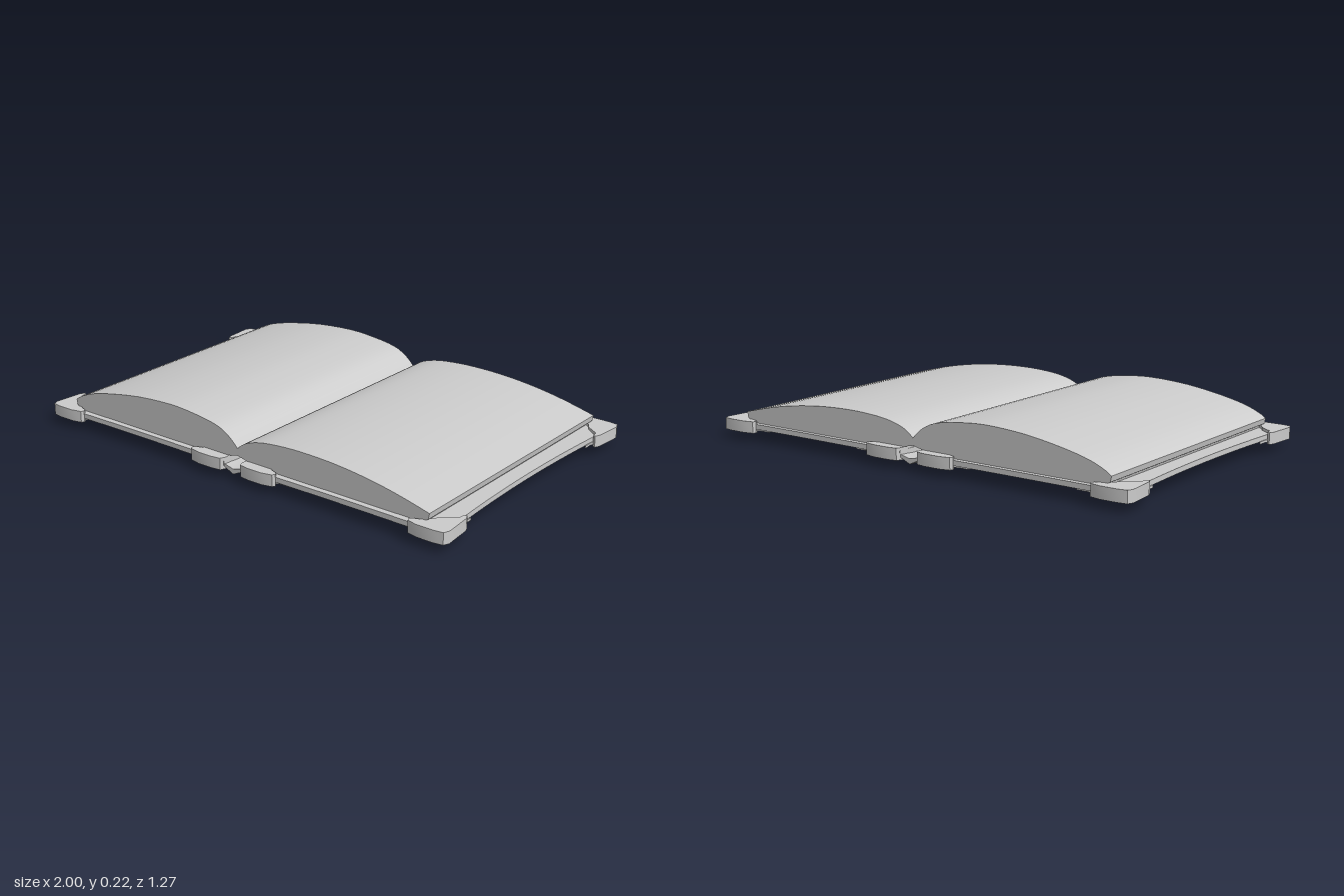
import * as THREE from 'three';
import { toCreasedNormals } from 'three/addons/utils/BufferGeometryUtils.js';

const material = new THREE.MeshStandardMaterial({ color: 0xcccccc, side: THREE.DoubleSide });
const vec = ([x, y]) => new THREE.Vector2(x, y);

function addMesh(parent, name, geometry) {
  const mesh = new THREE.Mesh(toCreasedNormals(geometry, 0.6), material);
  mesh.name = name;
  parent.add(mesh);
  return mesh;
}

// Flat slab: outline in x/z, extruded from y0 up to y1
function slab(shape, y0, y1) {
  const geo = new THREE.ExtrudeGeometry(shape, { depth: y1 - y0, bevelEnabled: false, curveSegments: 16 });
  return geo.rotateX(Math.PI / 2).translate(0, y1, 0);
}

// Page block: curved top profile over a flat base, extruded along z
function pageBlock(top, side) {
  const curve = new THREE.SplineCurve(top.map(vec)).getPoints(28);
  const base = [[0.895, 0.09], [0.88, 0.082], [0.875, 0.065], [0.06, 0.065], [0.045, 0.085]]
    .map(([x, y]) => new THREE.Vector2(x * side, y));
  const shape = new THREE.Shape([...curve, ...base, new THREE.Vector2(0, 0.095)]);
  return new THREE.ExtrudeGeometry(shape, { depth: 1.175, bevelEnabled: false }).translate(0, 0, -0.59);
}

// Cover board with slightly concave outer edges
function coverBoard(side) {
  const s = new THREE.Shape();
  s.moveTo(0.045 * side, -0.615);
  s.quadraticCurveTo(0.5 * side, -0.605, 0.975 * side, -0.615);
  s.quadraticCurveTo(0.917 * side, 0, 0.975 * side, 0.615);
  s.quadraticCurveTo(0.5 * side, 0.605, 0.045 * side, 0.615);
  s.closePath();
  return slab(s, 0.052, 0.073);
}

// Spine: shallow V strip that widens and sags toward the middle
function spine() {
  const rows = 20, pos = [], idx = [];
  for (let i = 0; i <= rows; i++) {
    const t = (i / rows) * 2 - 1, z = t * 0.612, bow = 1 - t * t;
    const w = 0.048 + 0.025 * bow, y = 0.026 * (1 - bow);
    const section = [[-w, y + 0.022], [0, y], [w, y + 0.022], [w, y + 0.034], [0, y + 0.022], [-w, y + 0.034]];
    section.forEach(([x, h]) => pos.push(x, h, z));
  }
  for (let i = 0; i < rows; i++) {
    for (let k = 0; k < 6; k++) {
      const a = i * 6 + k, b = i * 6 + (k + 1) % 6;
      idx.push(a, b, a + 6, b, b + 6, a + 6);
    }
  }
  const e = rows * 6;
  for (const [a, b, c, d] of [[0, 1, 4, 5], [1, 2, 3, 4]]) {
    idx.push(a, c, b, a, d, c, e + a, e + b, e + c, e + a, e + c, e + d);
  }
  const geo = new THREE.BufferGeometry();
  geo.setAttribute('position', new THREE.Float32BufferAttribute(pos, 3));
  geo.setIndex(idx);
  return geo;
}

// Corner outlines, measured inward from the corner point
const CAP = [[0, 0.03], [0.01, 0.006], [0.05, 0], [0.12, 0], [0.165, 0.01], [0.172, 0.022], [0.165, 0.035],
  [0.135, 0.045], [0.125, 0.06], [0.105, 0.075], [0.09, 0.1], [0.065, 0.12], [0.05, 0.13], [0.035, 0.14],
  [0.032, 0.165], [0.02, 0.172], [0.01, 0.15]];
const FILIGREE = [[0.02, 0.02], [0.15, 0.02], [0.19, 0.035], [0.24, 0.035], [0.2, 0.055], [0.165, 0.06],
  [0.155, 0.08], [0.175, 0.105], [0.16, 0.13], [0.165, 0.165], [0.13, 0.16], [0.105, 0.175],
  [0.08, 0.155], [0.06, 0.165], [0.055, 0.19], [0.035, 0.22], [0.035, 0.18], [0.02, 0.14]];

// Metal corner: cap around the board plus an ornamental plate below
function corner(x, z, dx, dz) {
  const group = new THREE.Group();
  group.name = 'corner';
  const place = ([u, v]) => new THREE.Vector2(x + u * dx, z + v * dz);
  addMesh(group, 'cornerCap', slab(new THREE.Shape(CAP.map(place)), 0.036, 0.085));
  const plate = new THREE.Shape(FILIGREE.map(place));
  const hole = place([0.128, 0.125]);
  plate.holes.push(new THREE.Path().absellipse(hole.x, hole.y, 0.016, 0.016, 0, Math.PI * 2, true));
  addMesh(group, 'cornerPlate', slab(plate, 0.044, 0.054));
  // Raised ring and stud on the underside
  const c = place([0.065, 0.06]);
  const ring = new THREE.TorusGeometry(0.022, 0.004, 6, 20).rotateX(Math.PI / 2).translate(c.x, 0.036, c.y);
  addMesh(group, 'cornerRing', ring);
  const stud = new THREE.SphereGeometry(0.01, 12, 8).scale(1, 0.5, 1).translate(c.x, 0.036, c.y);
  addMesh(group, 'cornerStud', stud);
  return group;
}

export function createModel() {
  const book = new THREE.Group();
  book.name = 'openBook';

  addMesh(book, 'rightPages', pageBlock([[0, 0.125], [-0.02, 0.147], [-0.06, 0.177], [-0.12, 0.2], [-0.23, 0.216],
    [-0.35, 0.223], [-0.52, 0.213], [-0.68, 0.188], [-0.8, 0.16], [-0.87, 0.132], [-0.9, 0.113]], -1));
  addMesh(book, 'leftPages', pageBlock([[0, 0.125], [0.04, 0.155], [0.11, 0.178], [0.2, 0.19], [0.32, 0.195],
    [0.47, 0.19], [0.62, 0.174], [0.76, 0.149], [0.9, 0.115]], 1));
  addMesh(book, 'spine', spine());

  for (const side of [-1, 1]) {
    addMesh(book, side > 0 ? 'leftCover' : 'rightCover', coverBoard(side));
    for (const end of [-1, 1]) {
      book.add(corner(side, end * 0.635, -side, -end));
      book.add(corner(side * 0.042, end * 0.635, side, -end));
    }
  }
  return book;
}
